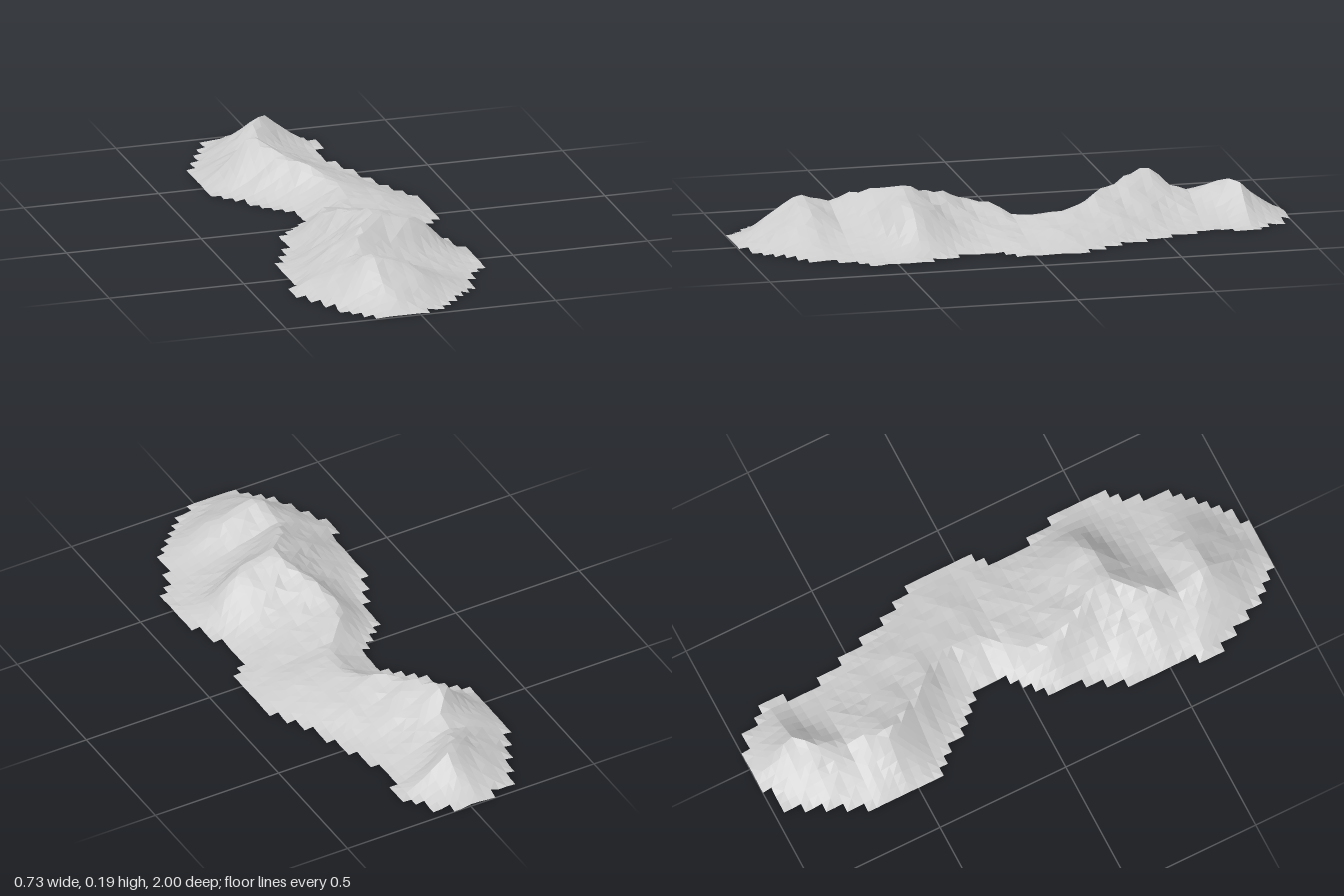
import * as THREE from 'three';

const CELL = 1 / 30, NX = 22, NZ = 60;

// footprint stations: z, left edge x, right edge x
const OUTLINE = [
  [-1, -0.06, 0.03], [-0.95, -0.18, 0.12], [-0.88, -0.22, 0.16], [-0.82, -0.26, 0.20],
  [-0.76, -0.28, 0.17], [-0.65, -0.33, 0.17], [-0.58, -0.33, 0.19], [-0.45, -0.33, 0.24],
  [-0.38, -0.29, 0.26], [-0.27, -0.20, 0.31], [-0.16, -0.10, 0.36], [-0.05, -0.10, 0.36],
  [0.05, -0.20, 0.36], [0.12, -0.23, 0.30], [0.24, -0.25, 0.30], [0.36, -0.33, 0.34],
  [0.46, -0.33, 0.37], [0.56, -0.33, 0.36], [0.64, -0.37, 0.31], [0.72, -0.33, 0.27],
  [0.82, -0.29, 0.24], [0.92, -0.22, 0.12], [1, -0.15, 0.01],
];

// crest stations: z, crest x, crest height
const CREST = [
  [-1, -0.02, 0.002], [-0.93, -0.02, 0.045], [-0.87, -0.01, 0.095], [-0.833, -0.01, 0.133],
  [-0.8, -0.04, 0.138], [-0.733, -0.07, 0.112], [-0.667, -0.09, 0.085], [-0.6, -0.11, 0.11],
  [-0.533, -0.15, 0.172], [-0.467, -0.12, 0.158], [-0.4, -0.08, 0.135], [-0.3, -0.01, 0.12],
  [-0.25, 0.03, 0.095], [-0.167, 0.06, 0.08], [-0.067, 0.05, 0.07], [0, 0.0, 0.06],
  [0.05, -0.06, 0.088], [0.15, -0.1, 0.108], [0.233, -0.07, 0.145], [0.3, -0.04, 0.16],
  [0.367, 0, 0.182], [0.4, 0.01, 0.192], [0.433, 0.01, 0.19], [0.5, -0.06, 0.172],
  [0.567, -0.1, 0.15], [0.633, -0.13, 0.115], [0.7, -0.12, 0.138], [0.75, -0.12, 0.158],
  [0.8, -0.11, 0.125], [0.9, -0.09, 0.063], [0.95, -0.07, 0.03], [1, -0.07, 0.002],
];

// slope stations: z, left and right falloff power (above 1 hollows, below 1 bulges)
const SLOPE = [
  [-1, 0.9, 0.9], [-0.9, 1, 1.05], [-0.83, 1, 1.2], [-0.75, 0.95, 1.5], [-0.65, 0.95, 1.3],
  [-0.53, 1.05, 1.35], [-0.4, 1.4, 1.2], [-0.25, 1.5, 1], [-0.1, 1, 0.85], [0.05, 1.1, 1],
  [0.2, 1.5, 0.95], [0.33, 1.6, 0.95], [0.4, 1.2, 1], [0.48, 1.05, 1.3],
  [0.55, 1, 1.55], [0.65, 1, 1.35], [0.75, 0.95, 1], [1, 0.9, 0.9],
];

// shoulders standing out from the flanks: x, z, height, radius
const SHOULDERS = [
  [0.17, 0.375, 0.043, 0.065], [0.11, 0.46, 0.014, 0.04],
  [0.02, 0.75, 0.024, 0.06], [0.16, -0.36, 0.01, 0.05], [0.2, -0.12, 0.008, 0.06],
];

// linear lookup in a station table
function sample(table, z) {
  let i = 1;
  while (i < table.length - 1 && table[i][0] < z) i++;
  const a = table[i - 1], b = table[i];
  const t = THREE.MathUtils.clamp((z - a[0]) / (b[0] - a[0]), 0, 1);
  return [a[1] + (b[1] - a[1]) * t, a[2] + (b[2] - a[2]) * t];
}

// repeatable roughness in -1..1
function rough(i, j) {
  const s = Math.sin(i * 12.9898 + j * 78.233) * 43758.5453;
  return (s - Math.floor(s)) * 2 - 1;
}

function heightAt(i, j) {
  const x = (i - NX / 2) * CELL, z = (j - NZ / 2) * CELL;
  const [left, right] = sample(OUTLINE, z);
  const [crestX, crestH] = sample(CREST, z);
  const [powL, powR] = sample(SLOPE, z);
  const west = x < crestX;
  const edge = west ? left : right;
  const t = THREE.MathUtils.clamp((x - edge) / (crestX - edge), 0, 1);
  // lower flanks follow a softened crest line
  const softH = (sample(CREST, z - 0.07)[1] + crestH + sample(CREST, z + 0.07)[1]) / 3;
  let h = THREE.MathUtils.lerp(softH, crestH, t) * Math.pow(t, west ? powL : powR);
  // gullies and small bumps fade out on the crest and the rim
  const flank = 4 * t * (1 - t);
  h *= 1 + flank * (Math.sin(z * 38 + x * 25) * 0.04 + rough(i, j) * 0.035);
  for (const [sx, sz, sh, r] of SHOULDERS) {
    h += sh * Math.min(1, 3 * t) * Math.exp(-((x - sx) ** 2 + (z - sz) ** 2) / (2 * r * r));
  }
  return h + 0.006 + 0.002 * rough(j, i);
}

// stepped grid of cells lying inside the footprint
function terrainGeometry() {
  const pos = [];
  const put = (i, j) => pos.push((i - NX / 2) * CELL, heightAt(i, j), (j - NZ / 2) * CELL);
  for (let j = 0; j < NZ; j++) {
    const [left, right] = sample(OUTLINE, (j + 0.5 - NZ / 2) * CELL);
    for (let i = 0; i < NX; i++) {
      const x = (i + 0.5 - NX / 2) * CELL;
      if (x < left - 0.008 || x > right + 0.008) continue;
      // split along the higher diagonal so the crest stays unbroken
      const falling = heightAt(i, j) + heightAt(i + 1, j + 1);
      const rising = heightAt(i + 1, j) + heightAt(i, j + 1);
      if (falling > rising) {
        put(i, j); put(i, j + 1); put(i + 1, j + 1);
        put(i, j); put(i + 1, j + 1); put(i + 1, j);
      } else {
        put(i, j); put(i, j + 1); put(i + 1, j);
        put(i + 1, j); put(i, j + 1); put(i + 1, j + 1);
      }
    }
  }
  const geo = new THREE.BufferGeometry();
  geo.setAttribute('position', new THREE.Float32BufferAttribute(pos, 3));
  geo.computeVertexNormals();
  return geo;
}

export function createModel() {
  const group = new THREE.Group();
  group.name = 'mountainRange';
  const material = new THREE.MeshStandardMaterial({
    color: 0xcccccc, flatShading: true, side: THREE.DoubleSide,
  });
  const terrain = new THREE.Mesh(terrainGeometry(), material);
  terrain.name = 'mountainTerrain';
  group.add(terrain);
  return group;
}
